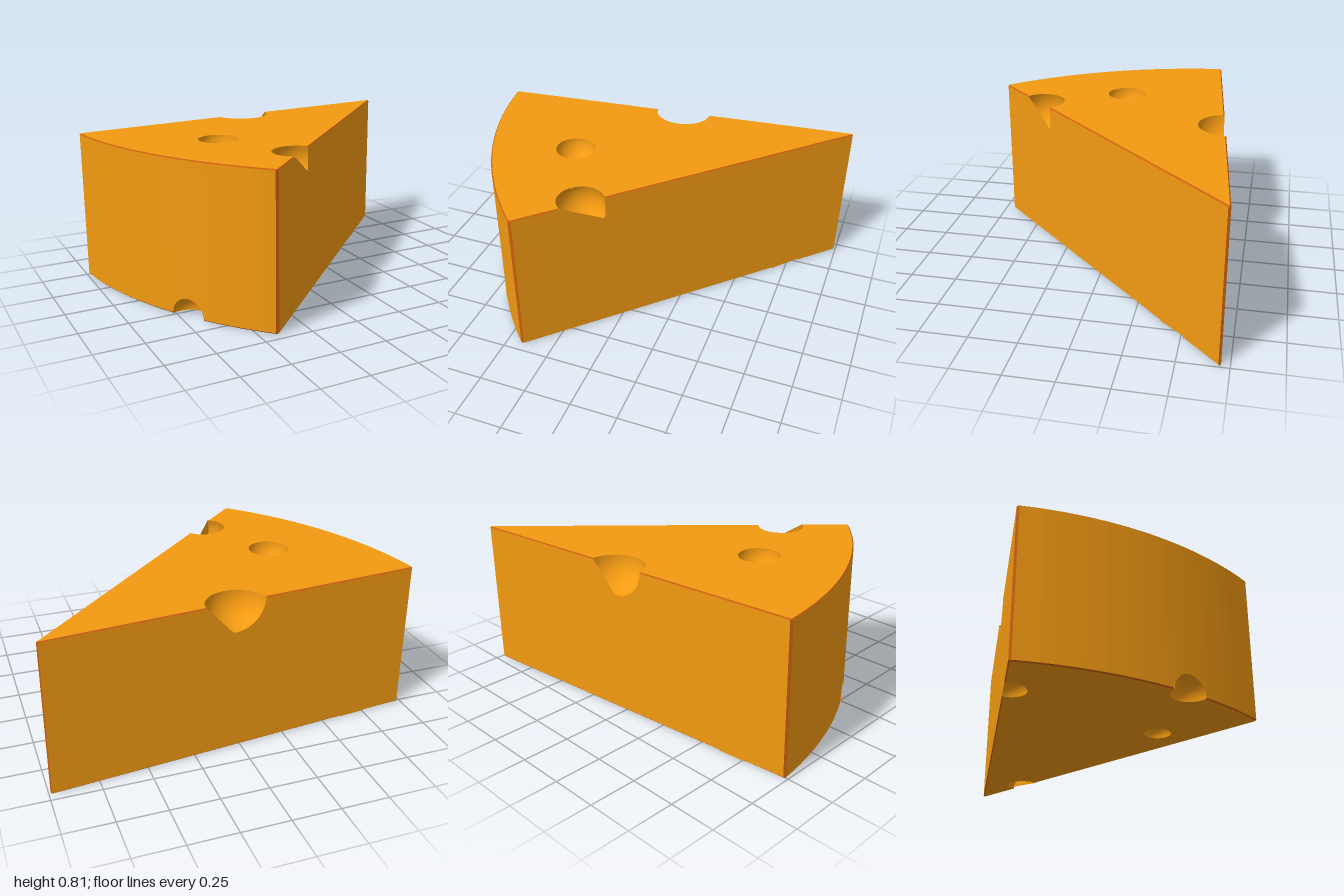
import * as THREE from 'three';

const H = 0.807, R = 2.005, BEVEL = 0.006;
const TIP = [1.005, -0.71], A0 = 0.1, A1 = Math.PI / 4;

const cheese = new THREE.MeshStandardMaterial({ color: 0xf39a12, side: THREE.DoubleSide });
const rind = new THREE.MeshStandardMaterial({ color: 0xc8600f, side: THREE.DoubleSide });

const dir = (a) => [-Math.cos(a), Math.sin(a)];
const inward = (t) => [t[1], -t[0]];

// A wall maps (u along it, d inward from it) to plan [x, z]
function straightWall(p, t) {
  const n = inward(t);
  return {
    length: R, steps: 1, tangent: () => t,
    at: (u, d) => [p[0] + t[0] * u + n[0] * d, p[1] + t[1] * u + n[1] * d],
  };
}
const roundWall = {
  length: R * (A1 - A0), steps: 22,
  tangent: (u) => [Math.sin(A0 + u / R), Math.cos(A0 + u / R)],
  at: (u, d) => {
    const v = dir(A0 + u / R);
    return [TIP[0] + v[0] * (R - d), TIP[1] + v[1] * (R - d)];
  },
};
const corner = dir(A1);

// Bites at the edges: u, d = centre, r = radius, h = centre depth, slope = limit of the wall opening
const walls = [
  { name: 'backWall', ...straightWall(TIP, dir(A0)), trim: [0.02, 0.01],
    top: { u: 0.978, d: -0.018, r: 0.16, h: 0, slope: 1.09 },
    bottom: { u: 1.7, d: 0.031, r: 0.08, h: 0, slope: 0 } },
  { name: 'roundWall', ...roundWall, trim: [0.012, 0.012],
    bottom: { u: 0.881, d: 0, r: 0.097, h: 0, slope: 50 } },
  { name: 'frontWall', trim: [0.012, 0.02],
    ...straightWall([TIP[0] + corner[0] * R, TIP[1] + corner[1] * R], [-corner[0], -corner[1]]),
    top: { u: 0.379, d: 0.025, r: 0.135, h: 0.055, slope: 0.536 },
    bottom: { u: 1.638, d: 0.01, r: 0.09, h: 0, slope: 0.08 } },
];
const holes = {
  top: { x: -0.385, z: -0.02, r: 0.107 },
  bottom: { x: -0.2, z: 0.238, r: 0.068 },
};

const halfChord = (b) => Math.sqrt(b.r ** 2 - b.h ** 2 - b.d ** 2);

// Depth of the wall opening at u, or the bevel size where there is no bite
function cutDepth(b, u) {
  if (!b) return BEVEL;
  const x = u - b.u, m = halfChord(b);
  if (Math.abs(x) >= m) return BEVEL;
  const round = Math.sqrt(Math.max(0, b.r ** 2 - b.d ** 2 - x * x)) + b.h;
  return Math.min(round, b.slope * (x + m));
}

function mesh(name, geometry, material) {
  const m = new THREE.Mesh(geometry, material);
  m.name = name;
  return m;
}

// Loose quads, corners counter-clockwise from outside
function quads(list) {
  const pos = [];
  for (const [a, b, c, d] of list) pos.push(...a, ...b, ...c, ...a, ...c, ...d);
  const g = new THREE.BufferGeometry();
  g.setAttribute('position', new THREE.Float32BufferAttribute(pos, 3));
  g.computeVertexNormals();
  return g;
}

const point = (w, u, d, y) => {
  const [x, z] = w.at(u, d);
  return [x, y, z];
};

function columns(w) {
  const start = w.trim[0], end = w.length - w.trim[1], us = [];
  for (let i = 0; i <= w.steps; i++) us.push(start + (end - start) * i / w.steps);
  for (const b of [w.top, w.bottom]) {
    if (!b) continue;
    const m = halfChord(b), e = 1e-5;
    us.push(b.u - m - e, b.u + m + e);
    for (let i = 0; i <= 28; i++) us.push(b.u - (m - e) * Math.cos(Math.PI * i / 28));
  }
  return us.sort((a, b) => a - b);
}

// Cap outline: inset wall lines with an arc scooped out at each bite
function capOutline(side) {
  const pts = [];
  for (const w of walls) {
    const b = w[side], start = w.trim[0], end = w.length - w.trim[1];
    const line = [];
    for (let i = 0; i <= w.steps; i++) line.push([start + (end - start) * i / w.steps, BEVEL]);
    if (b) {
      const m = Math.sqrt(b.r ** 2 - b.h ** 2), a0 = Math.asin((BEVEL - b.d) / m);
      const arc = [];
      for (let i = 0; i <= 28; i++) {
        const a = a0 + (Math.PI - 2 * a0) * i / 28;
        arc.push([b.u - m * Math.cos(a), b.d + m * Math.sin(a)]);
      }
      const lo = arc[0][0], hi = arc[28][0];
      const before = line.filter((p) => p[0] < lo), after = line.filter((p) => p[0] > hi);
      line.splice(0, line.length, ...before, ...arc, ...after);
    }
    for (const [u, d] of line) pts.push(w.at(u, d));
  }
  return pts;
}

function cap(side) {
  const s = side === 'top' ? -1 : 1, hole = holes[side];
  const shape = new THREE.Shape(capOutline(side).map(([x, z]) => new THREE.Vector2(x, s * z)));
  shape.holes.push(new THREE.Path().absarc(hole.x, s * hole.z, hole.r, 0, Math.PI * 2, true));
  const g = new THREE.ShapeGeometry(shape, 16);
  g.rotateX(s * Math.PI / 2);
  if (side === 'top') g.translate(0, H, 0);
  return g;
}

// Bowl sliced parallel to the wall, from the wall (d below the centre) to its deepest inner point
function bowl(side, [cx, cz], t, { r, h, d }) {
  const n = inward(t), rows = 20, cols = 24, pos = [], idx = [];
  const open = Math.acos(Math.max(-1, -d / r));
  for (let i = 0; i <= rows; i++) {
    const a = open * (1 - i / rows), rho = r * Math.sin(a), s = r * Math.cos(a);
    const extra = h > 0 ? Math.asin(Math.min(1, h / Math.max(rho, 1e-6))) : 0;
    for (let j = 0; j <= cols; j++) {
      const f = -extra + (Math.PI + 2 * extra) * j / cols;
      const depth = Math.max(0, h + rho * Math.sin(f)), k = rho * Math.cos(f);
      pos.push(cx + n[0] * s + t[0] * k, side === 'top' ? H - depth : depth, cz + n[1] * s + t[1] * k);
      if (i < rows && j < cols) {
        const p = i * (cols + 1) + j, q = p + cols + 1;
        if (side === 'top') idx.push(p, p + 1, q, q, p + 1, q + 1);
        else idx.push(p, q, p + 1, q, q + 1, p + 1);
      }
    }
  }
  const g = new THREE.BufferGeometry();
  g.setAttribute('position', new THREE.Float32BufferAttribute(pos, 3));
  g.setIndex(idx);
  g.computeVertexNormals();
  return g;
}

export function createModel() {
  const group = new THREE.Group();
  group.name = 'cheeseWedge';
  const edges = [];

  walls.forEach((w, k) => {
    // Wall face in vertical strips, with bevels where no bite interrupts the edge
    const us = columns(w), strips = [];
    for (let i = 0; i + 1 < us.length; i++) {
      const a = us[i], b = us[i + 1], mid = (a + b) / 2;
      const bitten = (c) => c && Math.abs(mid - c.u) < halfChord(c);
      const lo = (u) => cutDepth(w.bottom, u), hi = (u) => H - cutDepth(w.top, u);
      strips.push([point(w, a, 0, lo(a)), point(w, b, 0, lo(b)), point(w, b, 0, hi(b)), point(w, a, 0, hi(a))]);
      if (!bitten(w.top)) edges.push([point(w, a, 0, H - BEVEL), point(w, b, 0, H - BEVEL), point(w, b, BEVEL, H), point(w, a, BEVEL, H)]);
      if (!bitten(w.bottom)) edges.push([point(w, a, BEVEL, 0), point(w, b, BEVEL, 0), point(w, b, 0, BEVEL), point(w, a, 0, BEVEL)]);
    }
    group.add(mesh(w.name, quads(strips), cheese));

    // Bevelled upright corner to the next wall
    const next = walls[(k + 1) % 3], e = w.length - w.trim[1], s = next.trim[0];
    const levels = [[BEVEL, 0], [0, BEVEL], [0, H - BEVEL], [BEVEL, H]];
    for (let i = 0; i < 3; i++) {
      const [d0, y0] = levels[i], [d1, y1] = levels[i + 1];
      edges.push([point(w, e, d0, y0), point(next, s, d0, y0), point(next, s, d1, y1), point(w, e, d1, y1)]);
    }

    for (const side of ['top', 'bottom']) {
      const b = w[side];
      if (b) group.add(mesh(side + 'EdgeBite', bowl(side, w.at(b.u, b.d), w.tangent(b.u), b), cheese));
    }
  });
  group.add(mesh('rindEdges', quads(edges), rind));

  // Top and underside with their round holes
  for (const side of ['top', 'bottom']) {
    const { x, z, r } = holes[side];
    group.add(mesh(side + 'Face', cap(side), cheese));
    group.add(mesh(side + 'Hole', bowl(side, [x, z], [-1, 0], { r, h: 0, d: r }), cheese));
  }
  return group;
}
